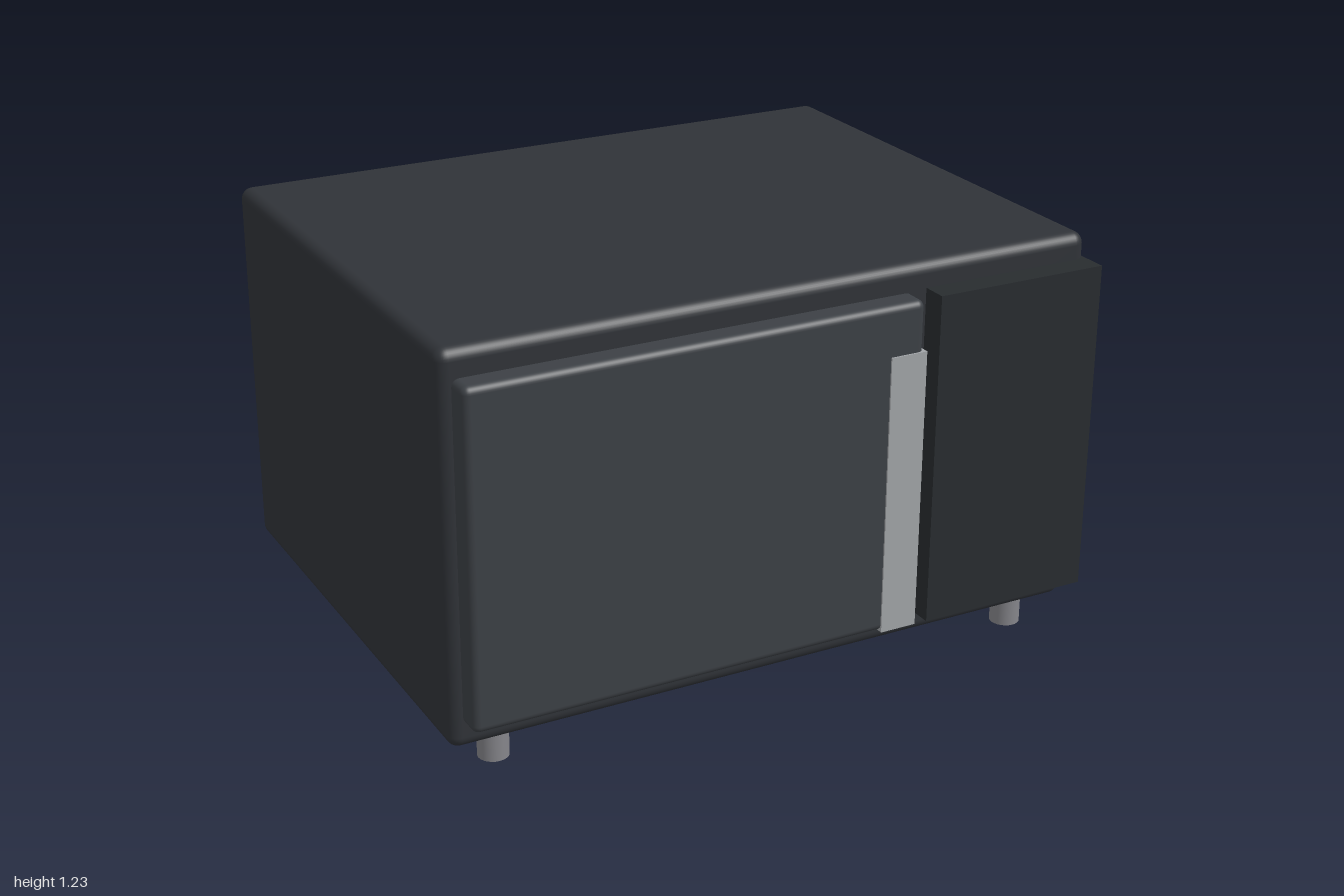
import * as THREE from 'three';
import { RoundedBoxGeometry } from 'three/addons/geometries/RoundedBoxGeometry.js';

// Box given by its min and max corners; radius 0 keeps sharp edges
function block(name, min, max, radius, color) {
  const s = max.map((v, i) => v - min[i]);
  const geometry = radius > 0
    ? new RoundedBoxGeometry(s[0], s[1], s[2], 4, radius)
    : new THREE.BoxGeometry(...s);
  const mesh = new THREE.Mesh(geometry, new THREE.MeshStandardMaterial({ color }));
  mesh.position.set(...min.map((v, i) => (v + max[i]) / 2));
  mesh.name = name;
  return mesh;
}

export function createModel() {
  const oven = new THREE.Group();
  oven.name = 'microwaveOven';

  // Casing, door, handle and control panel
  oven.add(
    block('casing', [-1, 0.083, -0.805], [1, 1.233, 0.728], 0.035, 0x303338),
    block('door', [-0.962, 0.16, 0.66], [0.412, 1.152, 0.8], 0.022, 0x3c4045),
    block('handle', [0.304, 0.158, 0.72], [0.418, 1.003, 0.805], 0, 0xa2a5a8),
    block('controlPanel', [0.458, 0.157, 0.68], [0.999, 1.157, 0.805], 0, 0x282c2f)
  );

  // Four round feet
  const footGeometry = new THREE.CylinderGeometry(0.045, 0.045, 0.1, 24);
  const footMaterial = new THREE.MeshStandardMaterial({ color: 0x85858a });
  for (const x of [-0.847, 0.847]) {
    for (const z of [-0.653, 0.655]) {
      const foot = new THREE.Mesh(footGeometry, footMaterial);
      foot.position.set(x, 0.05, z);
      foot.name = 'foot';
      oven.add(foot);
    }
  }
  return oven;
}
